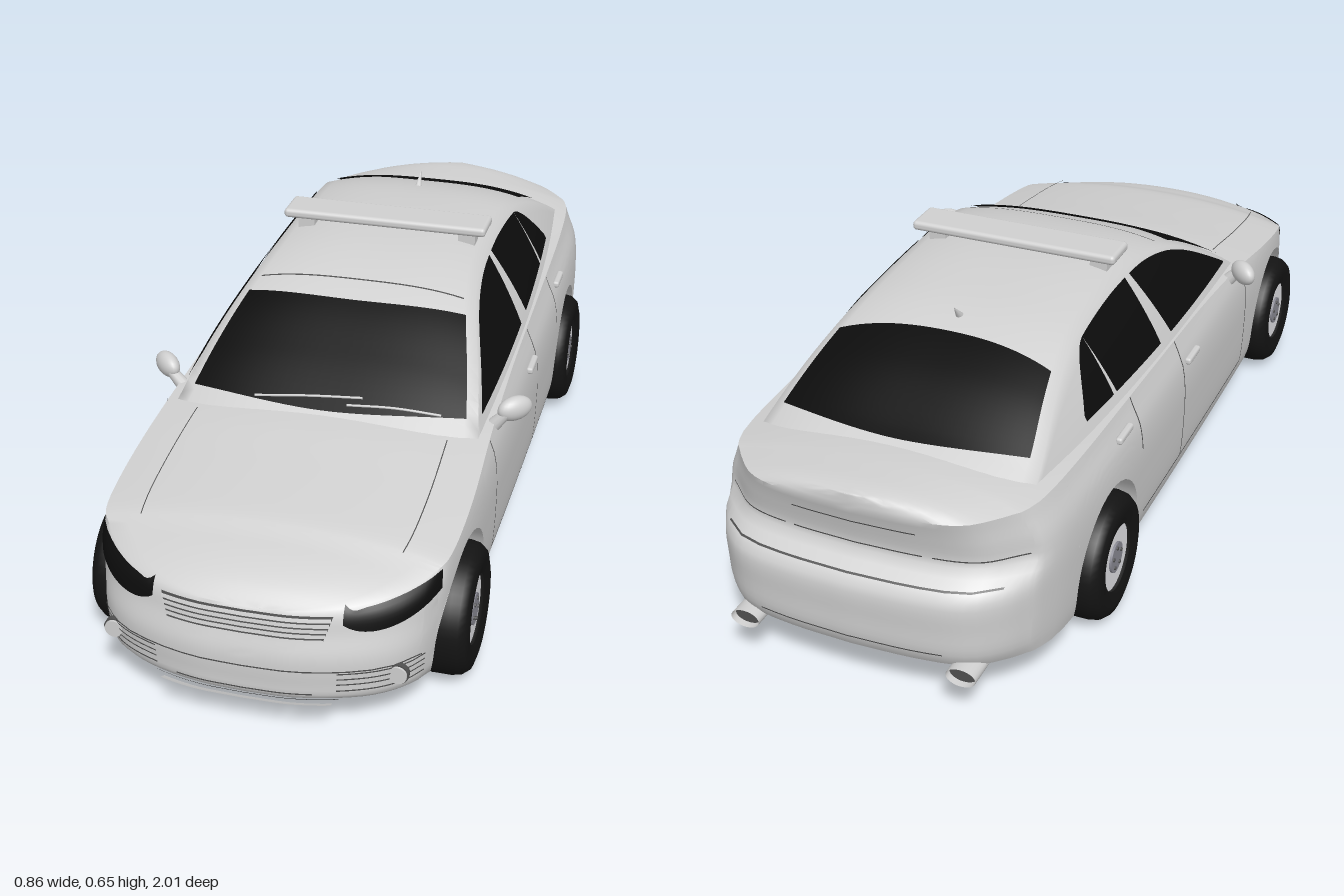
import * as THREE from 'three';
import { toCreasedNormals } from 'three/addons/utils/BufferGeometryUtils.js';
import { RoundedBoxGeometry } from 'three/addons/geometries/RoundedBoxGeometry.js';

const mat = (name, color) => new THREE.MeshStandardMaterial({ name, color, side: THREE.DoubleSide });

// smooth 1D curve through [key, value] pairs
function curve(pairs) {
  const p = pairs.slice().sort((a, b) => a[0] - b[0]), n = p.length - 1;
  const slope = i => {
    const a = p[Math.max(i - 1, 0)], b = p[Math.min(i + 1, n)];
    return (b[1] - a[1]) / (b[0] - a[0]);
  };
  return t => {
    if (t <= p[0][0]) return p[0][1];
    if (t >= p[n][0]) return p[n][1];
    let i = 0;
    while (t > p[i + 1][0]) i++;
    const h = p[i + 1][0] - p[i][0], k = (t - p[i][0]) / h, k2 = k * k, k3 = k2 * k;
    return (2 * k3 - 3 * k2 + 1) * p[i][1] + (k3 - 2 * k2 + k) * h * slope(i)
      + (3 * k2 - 2 * k3) * p[i + 1][1] + (k3 - k2) * h * slope(i + 1);
  };
}

// surface grid from f(u, v) -> [x, y, z]
function grid(nu, nv, f) {
  const pos = [], idx = [];
  for (let i = 0; i <= nu; i++) for (let j = 0; j <= nv; j++) pos.push(...f(i / nu, j / nv));
  for (let i = 0; i < nu; i++) for (let j = 0; j < nv; j++) {
    const a = i * (nv + 1) + j, b = a + nv + 1;
    idx.push(a, b, b + 1, a, b + 1, a + 1);
  }
  const g = new THREE.BufferGeometry();
  g.setAttribute('position', new THREE.Float32BufferAttribute(pos, 3));
  g.setIndex(idx);
  g.computeVertexNormals();
  return g;
}

const lerp = THREE.MathUtils.lerp, smooth = THREE.MathUtils.smoothstep;

// plan outline of the lower body
const noseZ = curve([[0, .995], [.1, .99], [.2, .965], [.28, .925], [.33, .87], [.357, .8]]);
const tailZ = curve([[0, -1], [.15, -.992], [.25, -.97], [.31, -.92], [.342, -.87]]);
const halfW = curve([[.87, .33], [.8, .357], [.7, .371], [.5, .378], [0, .382], [-.5, .38], [-.7, .373], [-.8, .362], [-.87, .342]]);
// heights along the car: sill, shoulder and centre line of hood and boot
const sillY = curve([[1, .095], [.9, .08], [.83, .08], [.49, .075], [-.37, .075], [-.7, .095], [-.87, .11], [-1, .12]]);
const shoulderY = curve([[1, .285], [.965, .295], [.92, .307], [.85, .32], [.6, .357], [.4, .385], [.2, .402], [0, .412], [-.5, .425], [-1, .43]]);
const deckY = curve([[.995, .285], [.965, .315], [.92, .34], [.87, .353], [.8, .367], [.6, .395], [.43, .415], [.2, .412], [0, .414], [-.5, .43], [-.75, .465], [-.95, .468], [-1, .462]]);
// side, nose and tail profiles by height
const sideF = curve([[.07, .95], [.1, .975], [.14, .99], [.22, 1], [.3, 1], [.36, .978], [.41, .925], [.46, .88]]);
const noseD = curve([[.08, -.04], [.1, -.005], [.13, 0], [.19, 0], [.24, -.015], [.29, -.03], [.325, -.07]]);
const tailD = curve([[.1, .03], [.14, .005], [.2, 0], [.27, 0], [.295, .02], [.31, .05], [.33, .06], [.4, .045], [.43, .035], [.47, .03]]);

const wall = (x, z, y, off = 0) => {
  const front = smooth(z, .75, .93), rear = smooth(-z, .8, .93);
  return [x * sideF(y) + Math.sign(x) * off * (1 - Math.max(front, rear) * .5), y,
    z + front * (noseD(y) + off) + rear * (tailD(y) - off)];
};
const nose = (x, y, off) => wall(x, noseZ(Math.abs(x)), y, off);
const tail = (x, y, off) => wall(x, tailZ(Math.abs(x)), y, off);

// cabin surface
const roofY = curve([[.47, .395], [.43, .418], [.3, .49], [.14, .567], [0, .603], [-.15, .615], [-.3, .612], [-.45, .595], [-.6, .55], [-.75, .482], [-.8, .462], [-.84, .44]]);
const crown = curve([[.46, .05], [.3, .035], [.1, .025], [-.15, .025], [-.5, .028], [-.8, .045]]);
const edgeY = z => roofY(z) - crown(z);
const cabinX = (y, z) => (.348 - .45 * (y - .41) - .8 * (y - .41) * Math.abs(y - .41)) * (1 - .22 * (z + .1) ** 2);
const roof = (s, z, off = 0) => [s * cabinX(edgeY(z), z), roofY(z) - crown(z) * Math.abs(s) ** 3 + off, z];

const WHEELS = [.663, -.54], ARCH = .165, AXLE = .14;

export function createModel() {
  const car = new THREE.Group();
  car.name = 'car';
  const paint = mat('body grey', 0xd0d0d0), glass = mat('black glass', 0x0c0c0c), rubber = mat('tyre black', 0x141414);
  const seam = mat('seam grey', 0x505050), rimMat = mat('rim light grey', 0xe8e8ec), hubMat = mat('hub grey', 0x8a8a94);
  const add = (name, geo, m, parent = car, x = 0, y = 0, z = 0) => {
    const mesh = new THREE.Mesh(geo, m);
    mesh.name = name;
    mesh.position.set(x, y, z);
    parent.add(mesh);
    return mesh;
  };

  // columns of the body from nose to tail, cut open over the wheels
  const cols = [];
  const side = (z, bottom = sillY(z), open = false) => cols.push({ x: halfW(z), z, bottom, open });
  for (let i = 0; i <= 16; i++) {
    const x = .33 * Math.sin(i / 16 * Math.PI / 2);
    cols.push({ x, z: noseZ(x), bottom: sillY(noseZ(x)) });
  }
  side(.85);
  WHEELS.forEach((c, k) => {
    side(c + ARCH);
    for (let i = 0; i <= 20; i++) {
      const a = i / 20 * Math.PI;
      side(c + ARCH * Math.cos(a), AXLE + ARCH * Math.sin(a), true);
    }
    side(c - ARCH);
    if (k === 0) for (let i = 1; i < 16; i++) side(lerp(c - ARCH, WHEELS[1] + ARCH, i / 16));
  });
  [-.75, -.8, -.84].forEach(z => side(z));
  for (let i = 0; i <= 16; i++) {
    const x = .342 * Math.cos(i / 16 * Math.PI / 2);
    cols.push({ x, z: tailZ(x), bottom: sillY(tailZ(x)) });
  }

  // lower body: wall up, across the deck, wall down
  const R = 20, D = 16, N = cols.length - 1;
  const shell = grid(N, 2 * R + D, (u, v) => {
    const c = cols[Math.round(u * N)], j = Math.round(v * (2 * R + D)), top = shoulderY(c.z);
    if (j > R && j < R + D) {
      const s = 1 - 2 * (j - R) / D, e = wall(c.x, c.z, top);
      return [e[0] * s, top + (deckY(c.z) - top) * (1 - Math.abs(s) ** 2.2), e[2]];
    }
    const left = j <= R, p = wall(c.x, c.z, lerp(c.bottom, top, (left ? j : 2 * R + D - j) / R));
    return [left ? p[0] : -p[0], p[1], p[2]];
  });
  add('lowerBody', toCreasedNormals(shell, .75), paint);
  add('floor', grid(N, 2, (u, v) => {
    const c = cols[Math.round(u * N)], y = sillY(c.z), e = wall(c.x, c.z, y);
    return [(2 * v - 1) * (c.open ? .27 : e[0]), y, e[2]];
  }), paint);

  // cabin
  add('cabin', toCreasedNormals(grid(48, 34, (u, v) => {
    const z = lerp(.47, -.84, u), j = Math.round(v * 34), yE = edgeY(z);
    if (j >= 6 && j <= 28) return roof(1 - (j - 6) / 11, z);
    const y = lerp(Math.min(.38, yE - .005), yE, (j < 6 ? j : 34 - j) / 6);
    return [(j < 6 ? 1 : -1) * cabinX(y, z), y, z];
  }), .9), paint);
  add('windshield', grid(16, 24, (u, v) => {
    const s = .92 * (1 - 2 * v);
    return roof(s, lerp(.43 - .06 * s * s, .165 - .02 * s * s, u), .005);
  }), glass);
  add('rearWindow', grid(16, 24, (u, v) => {
    const s = .92 * (1 - 2 * v);
    return roof(s, lerp(-.51 - .03 * s * s, -.775 + .06 * s * s, u), .005);
  }), glass);
  add('roofSeam', grid(1, 20, (u, v) => roof(.9 * (1 - 2 * v), lerp(.102, .098, u), .002)), seam);

  // front grille and lower intake
  const front = (name, x0, x1, y0, y1, m, off, taper = 0) => add(name, grid(16, 2, (u, v) =>
    nose(lerp(x0, x1, u) * (1 - taper * (1 - v)), lerp(y0, y1, v), off)), m);
  front('grilleBack', -.172, .172, .23, .283, seam, .004, .1);
  for (let i = 0; i < 5; i++) {
    const w = .155 + i * .003;
    front('grilleBar', -w, w, .232 + i * .0105, .2395 + i * .0105, paint, .009);
  }
  front('bumperSeam', -.33, .33, .168, .171, seam, .003);
  front('intakeSeam', -.14, .14, .114, .117, seam, .003);
  front('lipSlot', -.19, .19, .098, .102, seam, .004);
  front('lipBlade', -.17, .17, .086, .096, paint, .02);

  for (const sx of [1, -1]) {
    const tag = sx > 0 ? 'left' : 'right';
    const flip = f => (u, v) => { const p = f(u, sx > 0 ? v : 1 - v); return [sx * p[0], p[1], p[2]]; };

    // headlights and fog lamps
    add(tag + 'Headlight', grid(20, 6, flip((u, v) => {
      const x = lerp(.19, .35, u), z = noseZ(x), top = shoulderY(z) - .002;
      const low = .247 + .04 * u ** 3 + .02 * (1 - u) ** 6;
      return wall(x, z, lerp(low, lerp(low + .035, top, smooth(u, 0, .25)), v), .005);
    })), glass);
    for (const y of [.122, .137, .15, .163]) add(tag + 'FogSlat', grid(8, 1, flip((u, v) =>
      nose(lerp(.185, .335, u), y + .003 * v, .003))), seam);
    const lamp = nose(sx * .295, .148, .003);
    const ring = add(tag + 'FogRing', new THREE.CylinderGeometry(.022, .022, .012, 24), seam, car, ...lamp);
    const fog = add(tag + 'FogLamp', new THREE.CylinderGeometry(.019, .019, .022, 24), paint, car, ...lamp);
    ring.rotation.x = fog.rotation.x = Math.PI / 2;

    // side windows
    for (const [name, z0, z1, slant] of [['FrontWindow', .345, -.07, .04], ['RearDoorWindow', -.135, -.385, .015], ['QuarterWindow', -.4, -.53, 0]])
      add(tag + name, grid(18, 6, flip((u, v) => {
        const z = lerp(z0, z1, u) - slant * v * u, low = .43 - .04 * z;
        let high = Math.max(low, edgeY(z) - .008);
        if (name === 'QuarterWindow') high = lerp(high, low + .012, u * u);
        const y = lerp(low, high, v);
        return [cabinX(y, z) + .004, y, z];
      })), glass);

    // door and boot seams
    for (const [z, y0] of [[.4, .12], [-.08, .12], [-.36, .3]]) add(tag + 'DoorSeam', grid(1, 10, flip((u, v) => {
      const zz = z + .002 - .004 * u;
      return wall(halfW(zz), zz, lerp(y0, shoulderY(zz), v), .0015);
    })), seam);
    add(tag + 'SillSeam', grid(20, 1, flip((u, v) => {
      const z = lerp(.4, -.33, u);
      return wall(halfW(z), z, .119 + .004 * v, .0015);
    })), seam);
    add(tag + 'HoodSeam', grid(14, 1, flip((u, v) => {
      const z = lerp(.8, .44, u), s = .77 - .006 * v, y0 = shoulderY(z);
      return [wall(halfW(z), z, y0)[0] * s, y0 + (deckY(z) - y0) * (1 - s ** 2.2) + .002, z];
    })), seam);
    add(tag + 'TailLampSeam', grid(12, 1, (u, v) => tail(sx * lerp(.16, .33, u), .335 + .003 * v, .003)), seam);

    // door handles
    for (const [z, y] of [[-.02, .355], [-.44, .382]])
      add(tag + 'DoorHandle', new RoundedBoxGeometry(.016, .016, .075, 2, .006), paint, car, sx * (halfW(z) * sideF(y) + .004), y, z);

    // mirror
    const mirror = add(tag + 'Mirror', new THREE.SphereGeometry(1, 24, 16), paint, car, sx * .397, .418, .305);
    mirror.scale.set(.042, .028, .022);
    mirror.rotation.y = sx * .75;
    const stalk = add(tag + 'MirrorStalk', new THREE.CylinderGeometry(.012, .018, .06, 12), paint, car, sx * .362, .39, .325);
    stalk.rotation.z = -sx * .7;

    // light bar foot, exhaust
    add(tag + 'BarFoot', new THREE.BoxGeometry(.04, .045, .035), paint, car, sx * .195, .612, -.135);
    const pipe = add(tag + 'Exhaust', new THREE.CylinderGeometry(.02, .02, .1, 24, 1, true), paint, car, sx * .24, .112, -.94);
    pipe.rotation.x = Math.PI / 2;
    pipe.scale.x = 1.6;
    const bore = add(tag + 'ExhaustBore', new THREE.CircleGeometry(.019, 24), seam, car, sx * .24, .112, -.975);
    bore.scale.x = 1.6;

    // wheels and arch liners
    const tyreProfile = [[.074, -.052], [.105, -.06], [.125, -.054], [.136, -.04], [.14, -.02], [.14, .02], [.136, .04], [.125, .054], [.105, .06], [.074, .052]]
      .map(p => new THREE.Vector2(...p));
    for (const c of WHEELS) {
      add(tag + 'ArchLiner', grid(20, 1, flip((u, v) => {
        const a = u * Math.PI, z = c + ARCH * Math.cos(a), y = AXLE + ARCH * Math.sin(a);
        return [lerp(.27, wall(halfW(z), z, y)[0], v), y, z];
      })), paint);
      const wheel = new THREE.Group();
      wheel.name = tag + (c > 0 ? 'FrontWheel' : 'RearWheel');
      wheel.position.set(sx * .344, AXLE, c);
      wheel.rotation.z = -sx * Math.PI / 2;
      add('tyre', new THREE.LatheGeometry(tyreProfile, 48), rubber, wheel);
      add('rim', new THREE.CylinderGeometry(.075, .075, .09, 40), rimMat, wheel);
      add('hub', new THREE.CylinderGeometry(.034, .037, .1, 32), hubMat, wheel);
      for (let i = 0; i < 5; i++) {
        const a = i / 5 * Math.PI * 2;
        add('bolt', new THREE.CylinderGeometry(.004, .004, .106, 8), seam, wheel, .023 * Math.cos(a), 0, .023 * Math.sin(a));
      }
      car.add(wheel);
    }
  }

  // rear panel seams
  const back = (name, x, y0, y1) => add(name, grid(12, 1, (u, v) => tail(lerp(x, -x, u), lerp(y0, y1, v), .003)), seam);
  back('plateTopSeam', .14, .392, .395);
  back('plateBottomSeam', .14, .335, .338);
  back('bumperRearSeam', .3, .292, .295);
  back('diffuserSeam', .2, .15, .153);

  // roof light bar, aerial and wipers
  add('lightBar', new RoundedBoxGeometry(.486, .022, .092, 3, .009), paint, car, 0, .639, -.138);
  const aerial = add('aerial', new THREE.ConeGeometry(.009, .045, 12), paint, car, 0, .607, -.465);
  aerial.rotation.x = -.7;
  for (const [x0, x1] of [[-.15, .08], [.05, .25]]) {
    const pts = [0, .5, 1].map(k => new THREE.Vector3(...roof(lerp(x0, x1, k) / .33, .415 - .02 * k, .009)));
    add('wiper', new THREE.TubeGeometry(new THREE.CatmullRomCurve3(pts), 10, .003, 6), paint);
  }
  return car;
}
